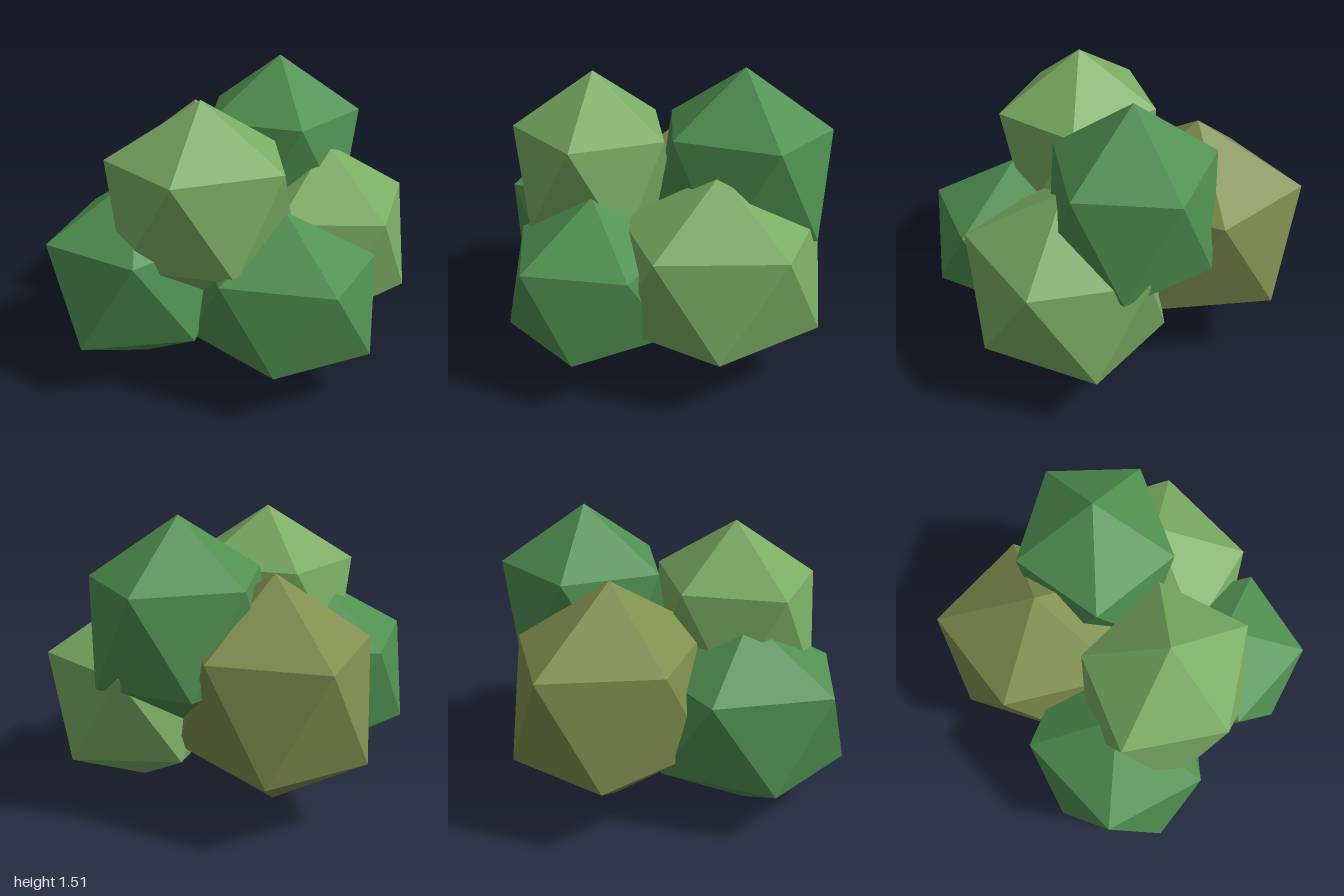
import * as THREE from 'three';

const GREEN = 0x4f9050, LIGHT = 0x7aac62, OLIVE = 0x808e4e;

// Each leaf clump is a stretched icosahedron standing on one point.
// centre, half height, and the horizontal [x, z] axes reaching its upper ring of corners
const CLUMPS = [
  { name: 'leftLowerClump', colour: GREEN, centre: [-0.508, 0.522, 0], height: 0.519, p: [-0.492, -0.007], q: [0.063, -0.468] },
  { name: 'frontLowerClump', colour: GREEN, centre: [0.044, 0.471, 0.525], height: 0.456, p: [0.007, 0.457], q: [-0.447, -0.026] },
  { name: 'rightLowerClump', colour: LIGHT, centre: [0.53, 0.55, 0.13], height: 0.53, p: [0.47, 0.06], q: [-0.11, 0.506] },
  { name: 'rightUpperClump', colour: GREEN, centre: [0.408, 0.962, -0.178], height: 0.55, p: [0.393, 0.207], q: [-0.233, 0.364] },
  { name: 'leftUpperClump', colour: LIGHT, centre: [-0.264, 0.92, 0.23], height: 0.53, p: [0.45, -0.066], q: [0.112, 0.423] },
  { name: 'backClump', colour: OLIVE, centre: [0.018, 0.645, -0.439], height: 0.602, p: [-0.018, -0.546], q: [0.476, -0.029] },
];

const RING = 2 / Math.sqrt(5); // ring radius of a unit icosahedron standing on a point

function makeClump({ name, colour, centre, height, p, q }) {
  const geometry = new THREE.IcosahedronGeometry(1, 0);
  // turn one corner straight up, then stretch along the clump's own axes
  geometry.rotateZ(-Math.atan(2 / (1 + Math.sqrt(5))));
  geometry.applyMatrix4(new THREE.Matrix4().makeBasis(
    new THREE.Vector3(p[0] / RING, 0, p[1] / RING),
    new THREE.Vector3(0, height, 0),
    new THREE.Vector3(q[0] / RING, 0, q[1] / RING),
  ));
  geometry.computeVertexNormals();
  const mesh = new THREE.Mesh(geometry, new THREE.MeshStandardMaterial({ color: colour, flatShading: true }));
  mesh.name = name;
  mesh.position.set(...centre);
  return mesh;
}

export function createModel() {
  const bush = new THREE.Group();
  bush.name = 'bush';
  for (const clump of CLUMPS) bush.add(makeClump(clump));
  return bush;
}
